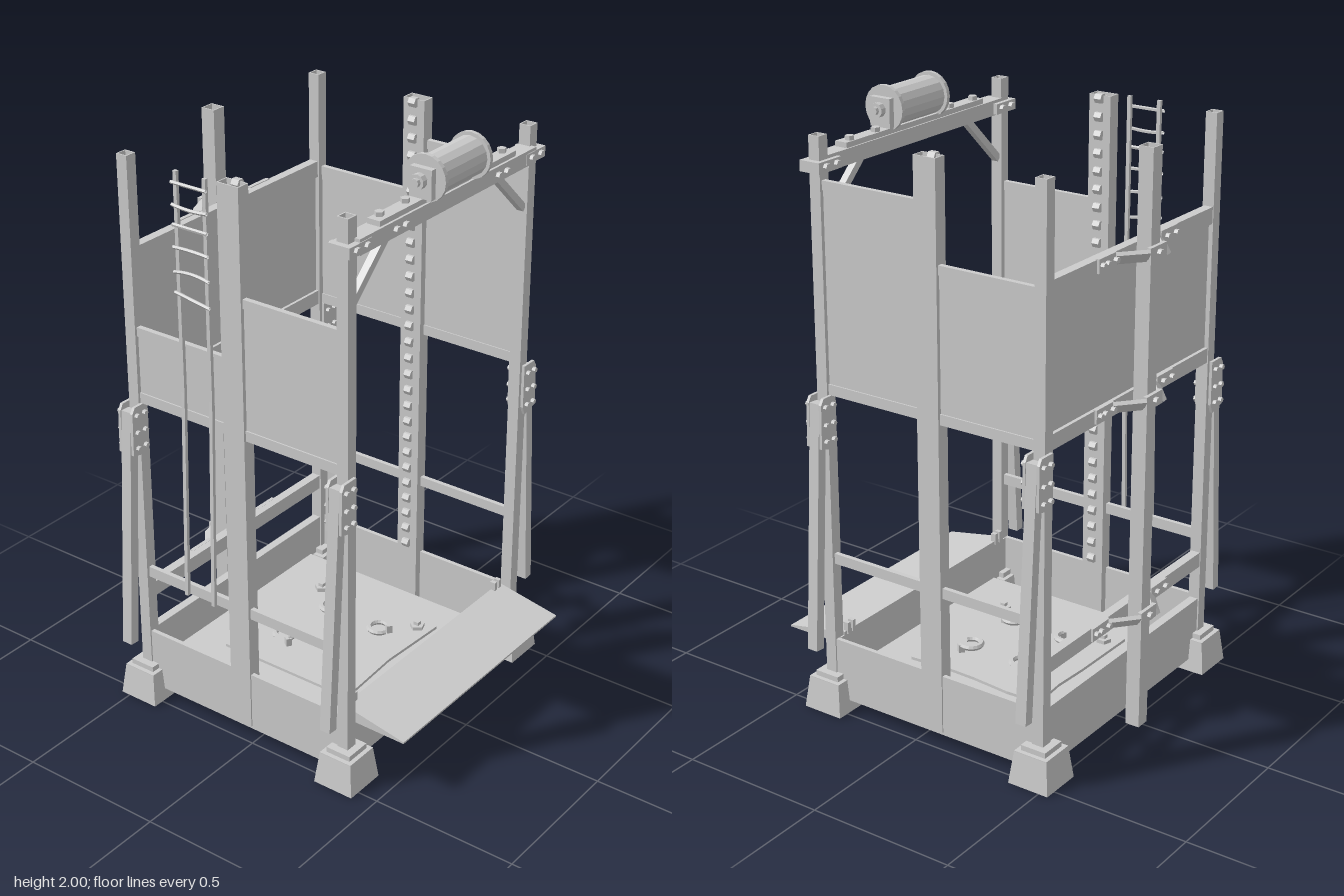
import * as THREE from 'three';

const grey = new THREE.MeshStandardMaterial({ color: 0xcccccc, flatShading: true });
const open = new THREE.MeshStandardMaterial({ color: 0xcccccc, flatShading: true, side: THREE.DoubleSide });

const FRONT_X = 0.355, BACK_X = -0.46, SIDE_Z = 0.465;

export function createModel() {
  const root = new THREE.Group();

  const add = (name, geo, x = 0, y = 0, z = 0, mat = grey) => {
    const m = new THREE.Mesh(geo, mat);
    m.name = name;
    m.position.set(x, y, z);
    root.add(m);
    return m;
  };
  // Box given by its limits
  const box = (name, x0, x1, y0, y1, z0, z1) =>
    add(name, new THREE.BoxGeometry(x1 - x0, y1 - y0, Math.abs(z1 - z0)), (x0 + x1) / 2, (y0 + y1) / 2, (z0 + z1) / 2);
  // Hollow rectangular upright
  const post = (name, x, z, w, d, y0, y1, wall = 0.004) => {
    const rect = (P, a, b) => new P().moveTo(-a, -b).lineTo(a, -b).lineTo(a, b).lineTo(-a, b).closePath();
    const s = rect(THREE.Shape, w / 2, d / 2);
    s.holes.push(rect(THREE.Path, w / 2 - wall, d / 2 - wall));
    const g = new THREE.ExtrudeGeometry(s, { depth: y1 - y0, bevelEnabled: false });
    g.rotateX(-Math.PI / 2);
    return add(name, g, x, y0, z);
  };
  // Square bar between two points
  const bar = (name, a, b, w, d) => {
    const p = new THREE.Vector3(...a), q = new THREE.Vector3(...b);
    const m = add(name, new THREE.BoxGeometry(w, p.distanceTo(q), d));
    m.position.copy(p).add(q).multiplyScalar(0.5);
    m.quaternion.setFromUnitVectors(new THREE.Vector3(0, 1, 0), q.sub(p).normalize());
    return m;
  };
  // Bolt head pointing along an axis
  const bolt = (axis, x, y, z, r = 0.011, len = 0.014, sides = 6) => {
    const g = new THREE.CylinderGeometry(r, r, len, sides);
    if (axis === 'x') g.rotateZ(Math.PI / 2);
    if (axis === 'z') g.rotateX(Math.PI / 2);
    return add('bolt', g, x, y, z);
  };

  // Tray walls, floor and mat
  for (const s of [1, -1]) box('sideWall', BACK_X, FRONT_X - 0.015, 0.04, 0.25, s * 0.465, s * 0.48);
  box('rearWall', -0.475, -0.445, 0.04, 0.25, -0.46, 0.46);
  box('entryWall', 0.33, 0.35, 0.04, 0.25, -0.46, 0.46);
  box('floor', -0.445, 0.33, 0.09, 0.12, -0.39, 0.39);
  const mat = new THREE.Shape([[-0.31, -0.255], [0.2, -0.255], [0.185, 0], [0.2, 0.26], [0.07, 0.25],
    [-0.05, 0.253], [-0.19, 0.266], [-0.31, 0.26], [-0.3, 0.13], [-0.307, 0]].map(p => new THREE.Vector2(...p)));
  const matGeo = new THREE.ExtrudeGeometry(mat, { depth: 0.055, bevelEnabled: false });
  matGeo.rotateX(-Math.PI / 2);
  add('mat', matGeo, 0, 0.075, 0);
  for (const x of [-0.26, 0.15]) for (const [z] of [[-0.215], [0.198]]) {
    bolt('y', x, 0.135, z, 0.026, 0.016, 5);
    box('studTip', x - 0.009, x + 0.009, 0.14, 0.155, z - 0.009, z + 0.009);
  }

  // Open shackles on the mat
  for (const [x, z, turn] of [[-0.143, -0.115, 2.4], [0.066, -0.107, 0.9], [-0.168, 0.112, -0.6], [0.054, 0.122, 0.1]]) {
    const g = new THREE.TorusGeometry(0.034, 0.01, 6, 14, Math.PI * 1.6);
    g.rotateX(-Math.PI / 2);
    const ring = add('shackle', g, x, 0.155, z);
    ring.rotation.y = turn;
    const lug = new THREE.Mesh(new THREE.BoxGeometry(0.02, 0.03, 0.02), grey);
    lug.name = 'shackleLug';
    lug.position.set(0.036, -0.012, 0);
    ring.add(lug);
  }

  // Entry ramp with hinge lugs
  const wedge = new THREE.Shape([[0.33, 0.215], [0.56, 0.213], [0.56, 0.219], [0.33, 0.262]].map(p => new THREE.Vector2(...p)));
  add('ramp', new THREE.ExtrudeGeometry(wedge, { depth: 0.89, bevelEnabled: false }), 0, 0, -0.445);
  for (const z of [-0.425, -0.4, 0.4, 0.425]) box('hingeLug', 0.325, 0.345, 0.25, 0.29, z - 0.007, z + 0.007);

  // Four corners: foot, upright, joint plate and splayed strut
  for (const x of [FRONT_X, BACK_X]) for (const s of [1, -1]) {
    const z = s * SIDE_Z;
    const foot = new THREE.CylinderGeometry(0.06 * Math.SQRT2, 0.073 * Math.SQRT2, 0.11, 4, 1, true);
    foot.rotateY(Math.PI / 4);
    add('foot', foot, x, 0.055, z, open);
    box('footCap', x - 0.06, x + 0.06, 0.1, 0.112, z - 0.06, z + 0.06);
    box('footCollar', x - 0.045, x + 0.045, 0.11, 0.13, z - 0.045, z + 0.045);
    post('cornerPost', x, z, 0.04, 0.04, 0.12, 1.92);

    bar('strut', [x, 0.245, s * 0.56], [x, 1.08, s * 0.507], 0.038, 0.034);
    for (const t of [1, -1]) {
      const plate = new THREE.Shape([[0.457, 0.95], [0.47, 0.92], [0.53, 0.935], [0.527, 1.08], [0.515, 1.1], [0.457, 1.1]]
        .map(([a, b]) => new THREE.Vector2(a * s, b)));
      const g = new THREE.ExtrudeGeometry(plate, { depth: 0.01, bevelEnabled: false });
      g.rotateY(-Math.PI / 2);
      add('jointPlate', g, x + t * 0.025 + 0.005, 0, 0);
      for (const y of [0.955, 1.01, 1.07]) {
        bolt('x', x + t * 0.035, y, s * 0.475, 0.009);
        bolt('x', x + t * 0.035, y, s * 0.51, 0.009);
      }
    }
  }

  // Tall middle uprights with a rack of teeth on the inside
  for (const s of [1, -1]) {
    post('middlePost', -0.055, s * 0.462, 0.08, 0.046, 0.05, 1.92);
    for (let i = 0; i < 28; i++) {
      const tooth = new THREE.CylinderGeometry(0.017, 0.017, 0.026, 6);
      tooth.rotateZ(Math.PI / 2);
      add('rackTooth', tooth, -0.055, 0.29 + i * 0.06, s * 0.438);
    }
  }
  post('rearPost', -0.515, 0, 0.05, 0.05, 0, 1.92);

  // Framed wall panels and lower rails
  const framed = (name, x0, x1, top, s) => {
    box(name, x0, x1, 1.11, top, s * 0.463, s * 0.472);
    box(name + 'TopRail', x0, x1, top - 0.03, top, s * 0.459, s * 0.477);
    box(name + 'BottomRail', x0, x1, 1.1, 1.135, s * 0.459, s * 0.477);
  };
  framed('leftRearPanel', -0.44, -0.09, 1.36, 1);
  framed('leftEntryPanel', -0.02, 0.335, 1.57, 1);
  framed('rightRearPanel', -0.44, -0.09, 1.6, -1);
  framed('rightEntryPanel', -0.02, 0.335, 1.785, -1);
  box('rearPanel', -0.465, -0.455, 1.1, 1.62, -0.45, 0.45);
  box('rearPanelTopRail', -0.477, -0.445, 1.565, 1.62, -0.45, 0.45);
  box('rearPanelBottomRail', -0.477, -0.445, 1.1, 1.15, -0.45, 0.45);
  box('leftLowRail', -0.44, 0.335, 0.46, 0.497, 0.459, 0.475);
  box('rightLowRail', -0.44, 0.335, 0.52, 0.555, -0.475, -0.459);
  box('rearLowRail', -0.477, -0.445, 0.37, 0.422, -0.445, 0.445);

  // Clamps holding the rear upright
  const outline = [[-0.478, -0.22], [-0.478, -0.125], [-0.545, -0.045], [-0.545, 0.045], [-0.478, 0.125], [-0.478, 0.22]];
  for (const y of [0.4, 1.13, 1.6]) {
    for (let i = 0; i < 5; i++) {
      const [ax, az] = outline[i], [bx, bz] = outline[i + 1];
      bar('clamp', [ax, y, az], [bx, y, bz], 0.014, 0.045);
    }
    bolt('x', -0.555, y, 0, 0.012, 0.02);
    for (const z of [-0.205, -0.18, -0.135, 0.155, 0.205]) bolt('x', -0.49, y, z, 0.01, 0.016);
  }

  // Ladder with sagging rungs
  for (const x of [-0.248, -0.138]) {
    bar('ladderRail', [x, 0.48, 0.507], [x, 1.2, 0.486], 0.013, 0.012);
    bar('ladderRail', [x, 1.195, 0.486], [x, 1.92, 0.486], 0.013, 0.012);
  }
  [[1.885, 0, 0], [1.815, 0, -0.01], [1.752, 0, 0], [1.68, 0, 0.005], [1.6, 0, 0.016], [1.535, -0.02, 0]].forEach(([y, drop, sag]) => {
    const c = new THREE.QuadraticBezierCurve3(new THREE.Vector3(-0.26, y, 0.495),
      new THREE.Vector3(-0.193, y + sag + drop / 2, 0.495), new THREE.Vector3(-0.127, y + drop, 0.495));
    add('ladderRung', new THREE.TubeGeometry(c, 6, 0.006, 5), 0, 0, 0, open);
  });

  // Overhead beam with braces and bolts
  box('overheadBeam', 0.335, 0.393, 1.805, 1.855, -0.455, 0.455);
  box('beamSpacer', 0.34, 0.385, 1.855, 1.872, -0.35, 0.35);
  for (const s of [1, -1]) {
    box('beamClamp', 0.32, 0.395, 1.81, 1.845, s * 0.4, s * 0.505);
    bar('brace', [FRONT_X, 1.65, s * 0.445], [FRONT_X, 1.815, s * 0.27], 0.024, 0.024);
    for (const z of [0.475, 0.425, 0.285, 0.24]) bolt('x', 0.398, 1.828, s * z, 0.012, 0.016);
    for (const z of [0.475, 0.425]) bolt('x', 0.315, 1.828, s * z, 0.012, 0.016);
    for (const z of [0.315, 0.19]) bolt('y', 0.357, 1.878, s * z, 0.015, 0.016, 5);
  }

  // Winch drum
  const disc = (name, r, len, z, sides = 16) => {
    const g = new THREE.CylinderGeometry(r, r, len, sides);
    g.rotateX(Math.PI / 2);
    return add(name, g, 0.377, 1.928, z);
  };
  disc('winchDrum', 0.062, 0.22, 0);
  disc('winchAxle', 0.014, 0.35, 0, 8);
  for (const s of [1, -1]) {
    disc('winchFlange', 0.073, 0.014, s * 0.115, 20);
    box('winchBearing', 0.338, 0.415, 1.872, 1.965, s * 0.122, s * 0.143);
    disc('bearingCap', 0.024, 0.02, s * 0.153, 10);
  }
  return root;
}
